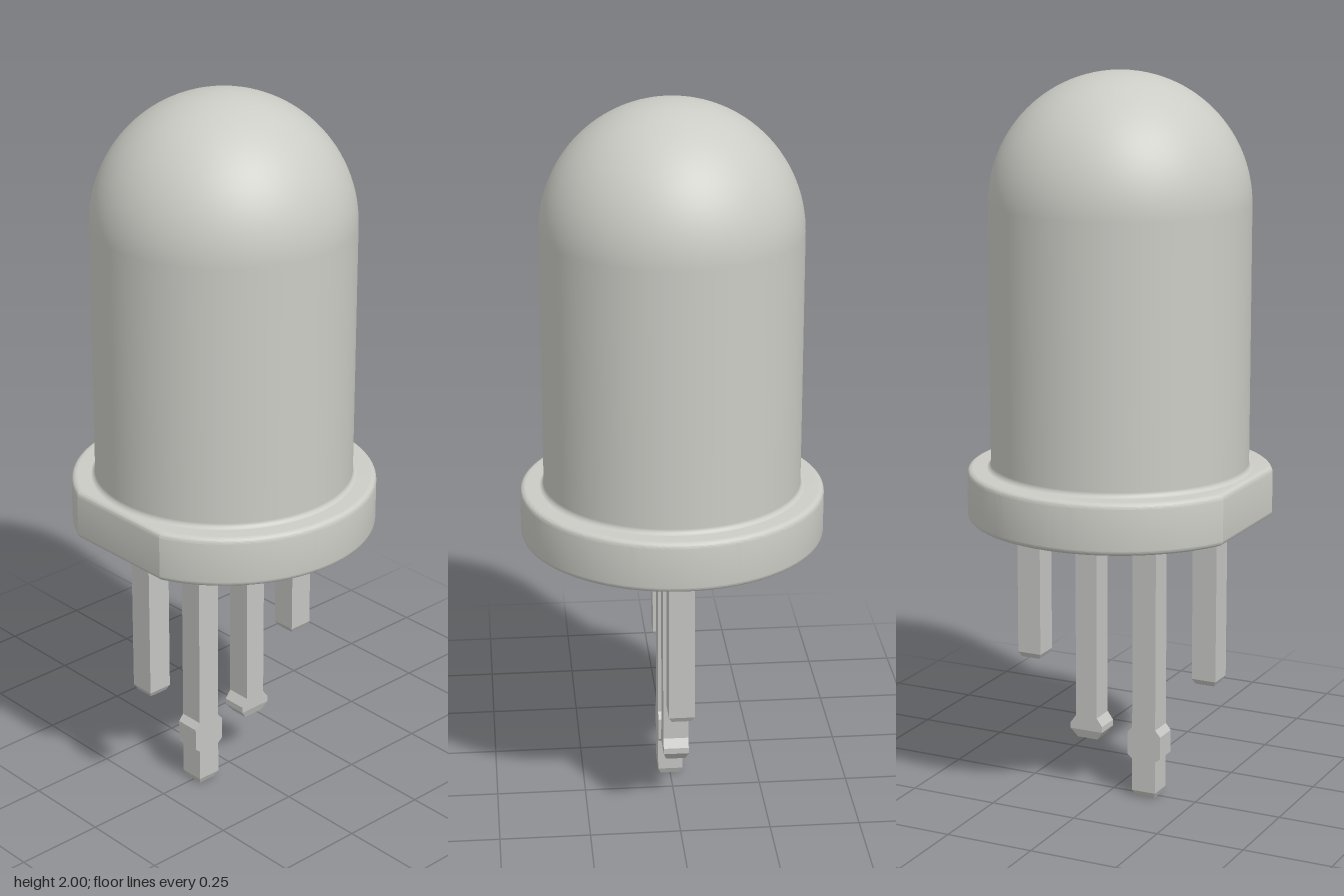
import * as THREE from 'three';
import { toCreasedNormals } from 'three/addons/utils/BufferGeometryUtils.js';

const CX = -0.018; // axis of the round body

// Flat-sided pin lofted through rectangles [y, halfWidth, halfDepth], bottom to top
function pinGeometry(sections) {
  const pos = [];
  const ring = ([y, w, d]) => [[-w, y, d], [w, y, d], [w, y, -d], [-w, y, -d]];
  const quad = (a, b, c, d) => pos.push(...a, ...b, ...c, ...a, ...c, ...d);
  const rings = sections.map(ring);
  for (let i = 0; i < rings.length - 1; i++) {
    const lo = rings[i], hi = rings[i + 1];
    for (let k = 0; k < 4; k++) {
      const n = (k + 1) % 4;
      quad(lo[k], lo[n], hi[n], hi[k]);
    }
  }
  const b = rings[0], t = rings[rings.length - 1];
  quad(b[3], b[2], b[1], b[0]);
  quad(t[0], t[1], t[2], t[3]);
  const geo = new THREE.BufferGeometry();
  geo.setAttribute('position', new THREE.Float32BufferAttribute(pos, 3));
  geo.computeVertexNormals();
  return geo;
}

export function createModel() {
  const group = new THREE.Group();
  const plastic = new THREE.MeshStandardMaterial({ color: 0xcbccc5 });
  plastic.name = 'lensPlastic';
  const metal = new THREE.MeshStandardMaterial({ color: 0xc4c4c2 });
  metal.name = 'pinMetal';

  const add = (name, geo, mat, x) => {
    const mesh = new THREE.Mesh(geo, mat);
    mesh.name = name;
    mesh.position.x = x;
    group.add(mesh);
  };

  // Domed lens with a small fillet at its foot
  const R = 0.35, profile = [];
  for (let i = 0; i <= 5; i++) {
    const a = (i / 5) * Math.PI / 2;
    profile.push(new THREE.Vector2(R + 0.015 * (1 - Math.sin(a)), 0.949 - 0.015 * Math.cos(a)));
  }
  for (let i = 0; i <= 28; i++) {
    const a = (i / 28) * Math.PI / 2;
    profile.push(new THREE.Vector2(i === 28 ? 0 : R * Math.cos(a), 1.65 + R * Math.sin(a)));
  }
  add('lensDome', new THREE.LatheGeometry(profile, 96), plastic, CX);

  // Base flange: disc with one flat side and rounded rims
  const FR = 0.414, flat = 0.379, bevel = 0.015;
  const a0 = Math.PI - Math.acos(flat / FR);
  const outline = new THREE.Shape();
  outline.absarc(0, 0, FR, -a0, a0, false);
  outline.closePath();
  const flange = new THREE.ExtrudeGeometry(outline, {
    depth: 0.14 - 2 * bevel, curveSegments: 96, bevelEnabled: true,
    bevelThickness: bevel, bevelSize: bevel, bevelOffset: -bevel, bevelSegments: 6,
  });
  flange.rotateX(-Math.PI / 2);
  flange.translate(0, 0.795 + bevel, 0);
  add('baseFlange', toCreasedNormals(flange, 0.37), plastic, CX);

  // Four pins in a row, with chamfered tips
  const h = 0.035, top = 0.8;
  const shortPin = [[0.355, 0.027, 0.027], [0.37, h, h], [top, h, h]];
  const longPin = [
    [0, 0.027, 0.027], [0.018, h, h], [0.11, h, h], [0.122, 0.05, h],
    [0.185, 0.05, h], [0.203, h, h], [top, h, h],
  ];
  const middlePin = [
    [0.145, 0.03, 0.027], [0.17, 0.049, h], [0.187, 0.049, h],
    [0.21, 0.032, h], [0.765, 0.032, h], [0.785, 0.039, h], [top, 0.039, h],
  ];
  add('outerPinRight', pinGeometry(shortPin), metal, -0.287);
  add('longPin', pinGeometry(longPin), metal, -0.108);
  add('middlePin', pinGeometry(middlePin), metal, 0.069);
  add('outerPinLeft', pinGeometry(shortPin), metal, 0.247);

  return group;
}
